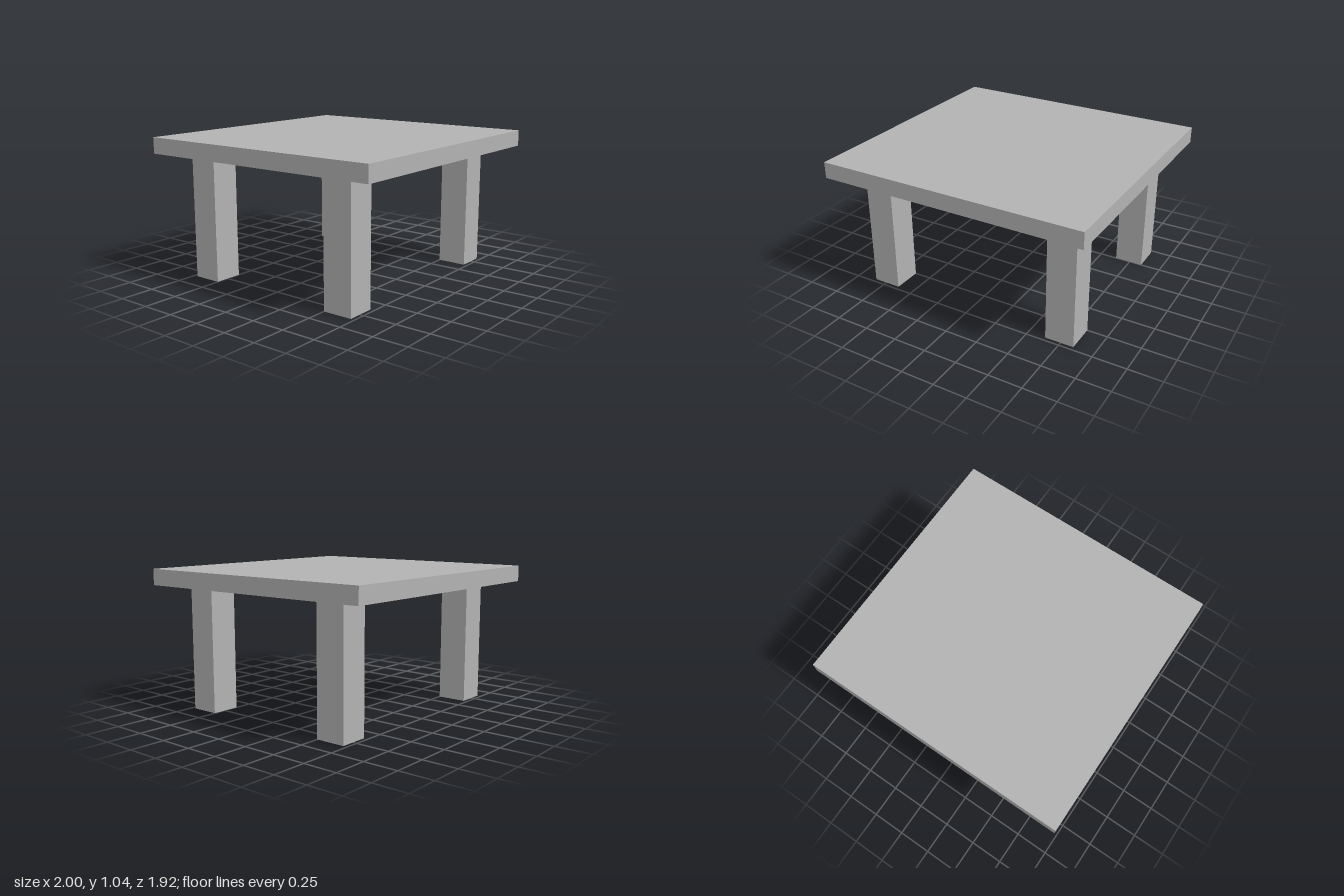
import * as THREE from 'three';

export function createModel() {
  const table = new THREE.Group();
  table.name = 'table';

  const grey = new THREE.MeshStandardMaterial({ color: 0xb2b2b2 });
  grey.name = 'grey';

  const legHeight = 0.925;
  const topThickness = 0.12;

  function addBox(name, width, height, depth, x, bottom, z) {
    const mesh = new THREE.Mesh(new THREE.BoxGeometry(width, height, depth), grey);
    mesh.name = name;
    mesh.position.set(x, bottom + height / 2, z);
    table.add(mesh);
  }

  // Slab top resting on the legs
  addBox('tableTop', 2, topThickness, 1.92, 0, legHeight, 0);

  // Four square legs, set in from the corners
  for (const [side, x] of [['Left', 0.74], ['Right', -0.74]]) {
    for (const [end, z] of [['front', 0.61], ['back', -0.61]]) {
      addBox(`${end}${side}Leg`, 0.215, legHeight, 0.22, x, 0, z);
    }
  }

  return table;
}
